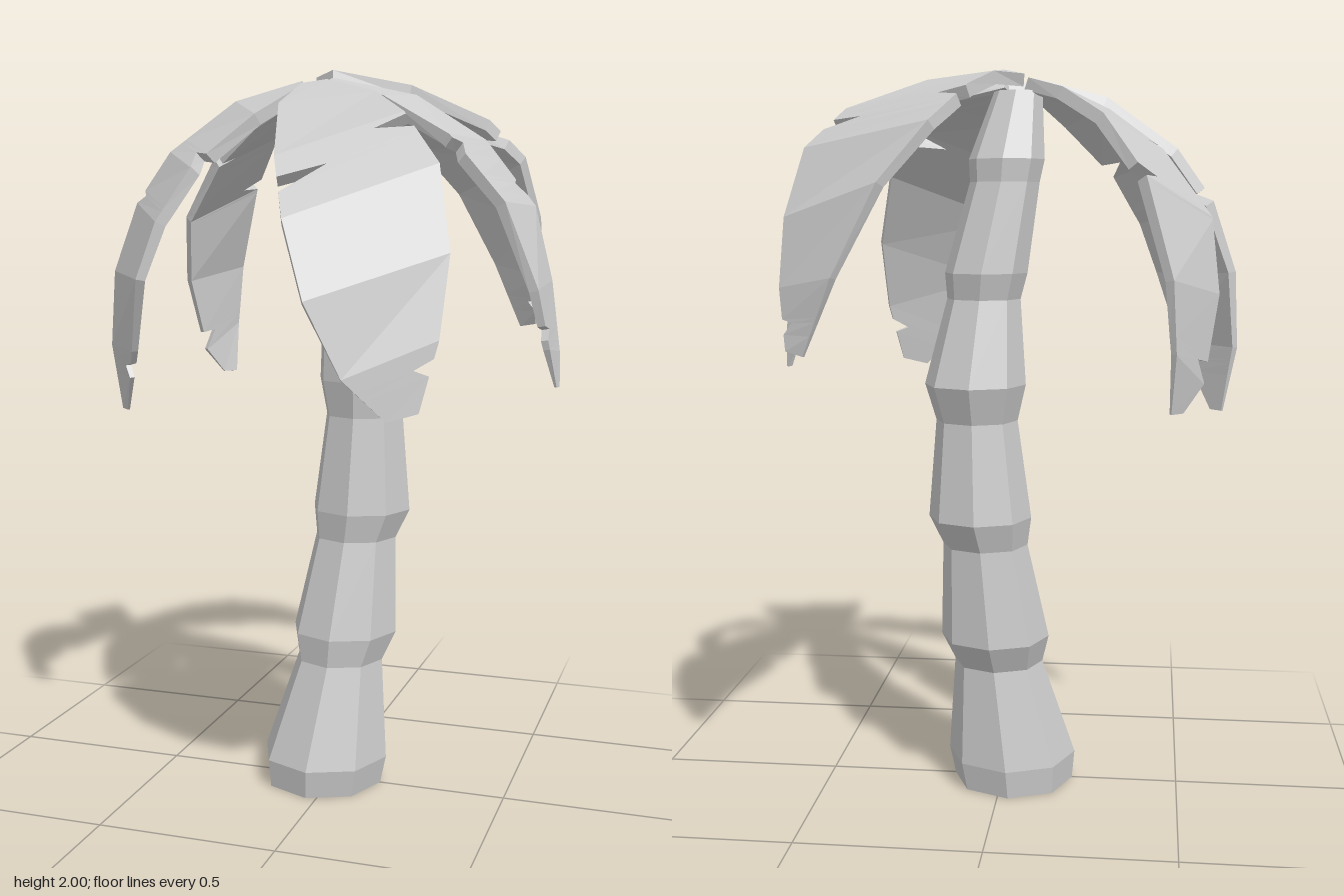
import * as THREE from 'three';

const material = new THREE.MeshStandardMaterial({ color: 0xcccccc, flatShading: true });

// Trunk rings from the ground up: [y, centre x, centre z, radius]
const RINGS = [
  [0, -0.03, 0, 0.17], [0.08, -0.025, 0, 0.182],
  [0.36, 0.01, -0.03, 0.125], [0.44, 0.018, -0.05, 0.152],
  [0.71, 0.042, -0.078, 0.118], [0.79, 0.055, -0.09, 0.142],
  [1.06, 0.063, -0.09, 0.112], [1.16, 0.066, -0.1, 0.138],
  [1.39, 0.045, -0.075, 0.1], [1.46, 0.038, -0.08, 0.112],
  [1.7, -0.01, -0.058, 0.094], [1.76, -0.015, -0.055, 0.102],
  [1.94, -0.042, -0.012, 0.065],
];

// Eight-sided trunk: a cylinder whose rows follow the leaning, stepped rings
function createTrunk() {
  const rows = RINGS.length - 1;
  const geometry = new THREE.CylinderGeometry(1, 1, 1, 8, rows);
  const p = geometry.attributes.position;
  for (let i = 0; i < p.count; i++) {
    const [y, cx, cz, r] = RINGS[Math.round((p.getY(i) + 0.5) * rows)];
    p.setXYZ(i, cx + p.getX(i) * r, y, cz + p.getZ(i) * r);
  }
  geometry.computeVertexNormals();
  const trunk = new THREE.Mesh(geometry, material);
  trunk.name = 'trunk';
  return trunk;
}

// Point at parameter t along a list of [x, y, z] points
function along(points, t) {
  const s = THREE.MathUtils.clamp(t, 0, points.length - 1);
  const i = Math.min(Math.floor(s), points.length - 2);
  return new THREE.Vector3(...points[i]).lerp(new THREE.Vector3(...points[i + 1]), s - i);
}

// Frond: a drooping blade between two edges (left and right seen from the root),
// thinning towards the tip. Each notch is [t, side, depth], a slit cut into one edge.
function createFrond(name, left, right, notches) {
  const end = left.length - 1;
  const stations = left.map((_, t) => ({ t, inL: 0, inR: 0 }));
  for (const [t, side, depth] of notches) {
    stations.push({ t, inL: 0, inR: 0 });
    stations.push({ t: t + 0.06, inL: side === 'left' ? depth : 0, inR: side === 'right' ? depth : 0 });
    stations.push({ t: t + 0.24, inL: 0, inR: 0 });
  }
  stations.sort((a, b) => a.t - b.t);

  const middle = (t) => along(left, t).lerp(along(right, t), 0.5);
  const sections = stations.map(({ t, inL, inR }) => {
    const l = along(left, t), r = along(right, t);
    const thickness = 0.006 + 0.028 * (1 - (t / end) ** 3);
    const tangent = middle(t + 0.5).sub(middle(t - 0.5));
    const down = r.clone().sub(l).cross(tangent).normalize().multiplyScalar(-thickness);
    const a = l.clone().lerp(r, inL), b = r.clone().lerp(l, inR);
    return [a, b, b.clone().add(down), a.clone().add(down)];
  });

  const positions = [];
  const quad = (a, b, c, d) => {
    for (const v of [a, b, c, a, c, d]) positions.push(v.x, v.y, v.z);
  };
  for (let i = 0; i < sections.length - 1; i++) {
    const s = sections[i], n = sections[i + 1];
    for (let k = 0; k < 4; k++) quad(s[k], s[(k + 1) % 4], n[(k + 1) % 4], n[k]);
  }
  const first = sections[0], last = sections[sections.length - 1];
  quad(first[0], first[3], first[2], first[1]);
  quad(last[0], last[1], last[2], last[3]);

  const geometry = new THREE.BufferGeometry();
  geometry.setAttribute('position', new THREE.Float32BufferAttribute(positions, 3));
  geometry.computeVertexNormals();
  const frond = new THREE.Mesh(geometry, material);
  frond.name = name;
  return frond;
}

export function createModel() {
  const palm = new THREE.Group();
  palm.name = 'palmTree';
  palm.add(createTrunk());

  palm.add(createFrond('backLeftFrond',
    [[-0.06, 1.985, -0.03], [0, 1.975, -0.22], [0.045, 1.93, -0.385], [0.12, 1.835, -0.53],
      [0.23, 1.69, -0.61], [0.34, 1.47, -0.62], [0.42, 1.28, -0.58]],
    [[0, 2, 0.01], [0.19, 1.965, -0.1], [0.37, 1.88, -0.28], [0.46, 1.78, -0.36],
      [0.495, 1.61, -0.44], [0.495, 1.44, -0.5], [0.47, 1.29, -0.55]],
    [[2.05, 'left', 0.2], [2.3, 'right', 0.25], [5.5, 'right', 0.3]]));

  palm.add(createFrond('frontLeftFrond',
    [[-0.01, 1.975, 0.03], [0.16, 1.93, 0.15], [0.265, 1.87, 0.26], [0.38, 1.74, 0.36],
      [0.43, 1.53, 0.45], [0.42, 1.33, 0.51], [0.38, 1.16, 0.54]],
    [[-0.075, 1.965, 0.05], [-0.075, 1.9, 0.23], [-0.015, 1.76, 0.43], [0.05, 1.61, 0.56],
      [0.12, 1.42, 0.615], [0.21, 1.24, 0.605], [0.31, 1.14, 0.57]],
    [[2.05, 'left', 0.26], [2.35, 'right', 0.35], [5.25, 'left', 0.25]]));

  palm.add(createFrond('frontRightFrond',
    [[-0.08, 1.96, 0.04], [-0.17, 1.88, 0.155], [-0.31, 1.74, 0.26], [-0.39, 1.6, 0.31],
      [-0.44, 1.45, 0.33], [-0.5, 1.25, 0.24], [-0.58, 1.07, 0.11]],
    [[-0.09, 1.975, 0], [-0.28, 1.925, 0.01], [-0.47, 1.79, 0.03], [-0.57, 1.65, 0.04],
      [-0.635, 1.46, 0.06], [-0.645, 1.25, 0.07], [-0.61, 1.07, 0.08]],
    [[1.75, 'left', 0.3], [2.75, 'right', 0.15], [5.2, 'left', 0.3]]));

  palm.add(createFrond('backRightFrond',
    [[-0.09, 1.97, -0.01], [-0.29, 1.885, -0.12], [-0.43, 1.78, -0.19], [-0.555, 1.61, -0.265],
      [-0.575, 1.42, -0.31], [-0.54, 1.2, -0.36], [-0.49, 1.13, -0.39]],
    [[-0.07, 1.975, -0.03], [-0.17, 1.94, -0.16], [-0.28, 1.865, -0.28], [-0.39, 1.71, -0.4],
      [-0.46, 1.46, -0.455], [-0.47, 1.28, -0.45], [-0.46, 1.13, -0.42]],
    [[1.9, 'left', 0.25], [2.8, 'right', 0.25], [4.75, 'left', 0.3]]));

  palm.add(createFrond('leftFrond',
    [[0, 1.98, 0.01], [0.23, 1.93, 0], [0.42, 1.81, 0.005], [0.555, 1.64, 0.015],
      [0.605, 1.45, 0.03], [0.635, 1.27, 0.07], [0.64, 1.18, 0.09]],
    [[-0.01, 1.97, 0.03], [0.16, 1.925, 0.08], [0.35, 1.82, 0.13], [0.5, 1.65, 0.15],
      [0.59, 1.43, 0.155], [0.62, 1.28, 0.14], [0.635, 1.18, 0.11]],
    [[2.6, 'left', 0.12], [2.05, 'right', 0.2], [4.6, 'right', 0.3]]));

  return palm;
}
